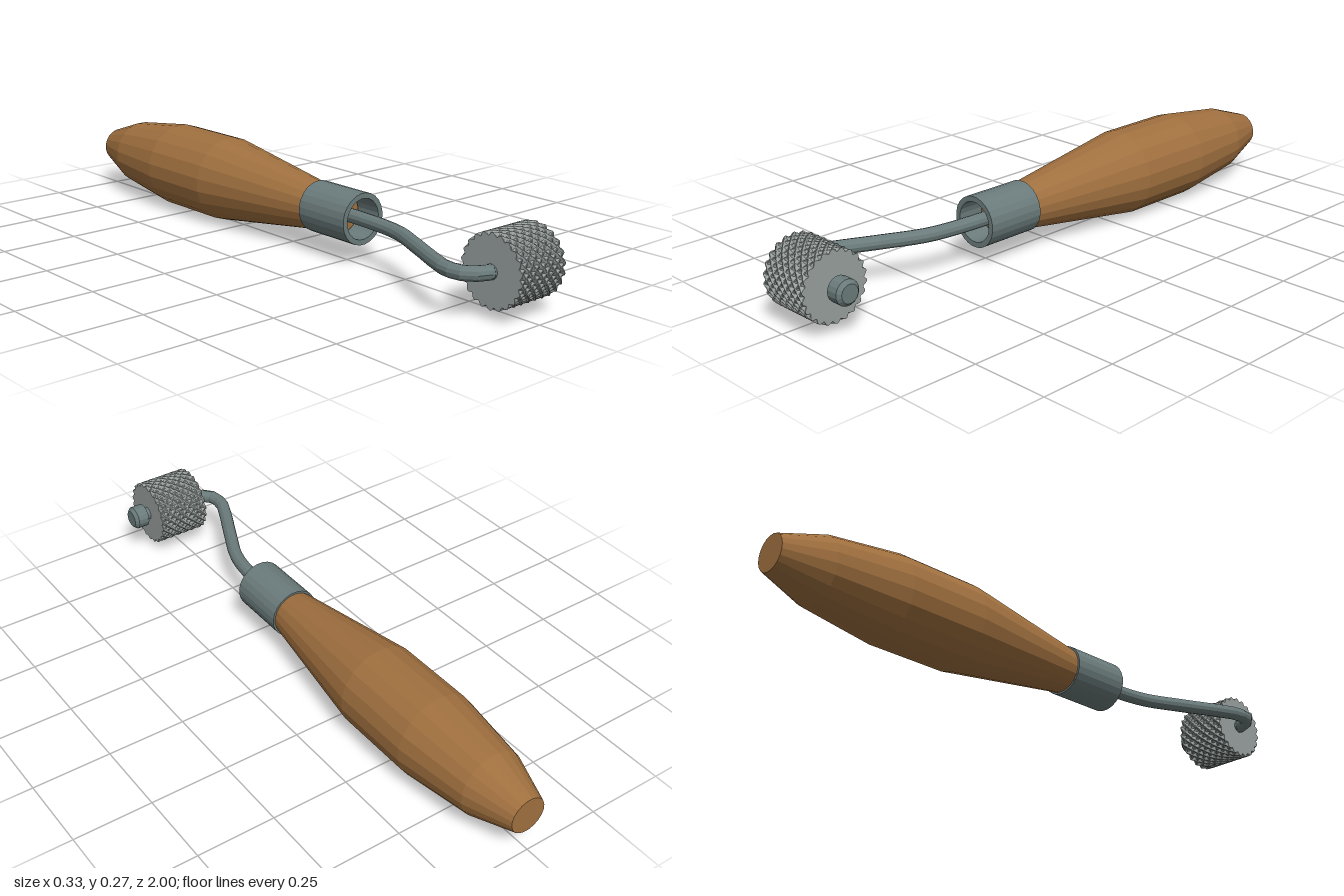
import * as THREE from 'three';

const AXIS_X = 0.013, AXIS_Y = 0.138, ROLLER_Z = 0.89;

const paint = (color) => new THREE.MeshStandardMaterial({ color, flatShading: true });

// Turned part from [radius, height] pairs, with a flat facing up
function turned(name, profile, sides, material) {
  const points = profile.map(([r, h]) => new THREE.Vector2(r, h));
  const mesh = new THREE.Mesh(new THREE.LatheGeometry(points, sides, Math.PI / sides), material);
  mesh.name = name;
  return mesh;
}

// Cylinder whose wall is cut by two crossing sets of helical grooves
function knurledGeometry(radius, length, teeth, twist, depth) {
  const geo = new THREE.CylinderGeometry(radius, radius, length, teeth * 8, 64);
  const pos = geo.attributes.position;
  const ridge = (a) => 0.5 + 0.5 * Math.cos(teeth * a);
  for (let i = 0; i < pos.count; i++) {
    const x = pos.getX(i), y = pos.getY(i), z = pos.getZ(i);
    const r = Math.hypot(x, z);
    if (r < radius * 0.5) continue;
    const angle = Math.atan2(z, x), turn = (y / length) * twist;
    const height = Math.max(ridge(angle + turn), 0.8 * ridge(angle - turn));
    const s = (radius - depth * (1 - height)) / r;
    pos.setXYZ(i, x * s, y, z * s);
  }
  geo.computeVertexNormals();
  return geo;
}

export function createModel() {
  const model = new THREE.Group();
  model.name = 'knurledRoller';
  const wood = paint(0xa0703f), steel = paint(0x6b7b7b), bright = paint(0x98a09e);

  // Handle and ferrule, turned along z
  const grip = new THREE.Group();
  grip.name = 'grip';
  grip.rotation.x = Math.PI / 2;
  grip.position.set(AXIS_X, AXIS_Y, 0);
  grip.add(turned('handle', [
    [0, -1], [0.058, -1], [0.108, -0.85], [0.139, -0.61],
    [0.139, -0.34], [0.074, 0.11], [0.06, 0.22], [0, 0.22],
  ], 20, wood));
  grip.add(turned('ferrule', [
    [0.064, 0.105], [0.081, 0.105], [0.081, 0.305], [0.064, 0.305], [0.064, 0.105],
  ], 24, steel));
  model.add(grip);

  // Bent rod from the handle round to the roller
  const path = new THREE.CatmullRomCurve3([
    [AXIS_X, 0.2], [AXIS_X, 0.3], [-0.006, 0.47], [-0.06, 0.6], [-0.122, 0.735],
    [-0.145, 0.8], [-0.135, 0.86], [-0.085, ROLLER_Z], [-0.05, ROLLER_Z],
  ].map(([x, z]) => new THREE.Vector3(x, AXIS_Y, z)));
  const rod = new THREE.Mesh(new THREE.TubeGeometry(path, 22, 0.022, 12), steel);
  rod.name = 'rod';
  model.add(rod);

  // Roller, axle and end nut, turned along x
  const head = new THREE.Group();
  head.name = 'rollerHead';
  head.rotation.z = -Math.PI / 2;
  head.position.set(0, AXIS_Y, ROLLER_Z);
  const roller = new THREE.Mesh(knurledGeometry(0.109, 0.176, 22, 1.75, 0.011), bright);
  roller.name = 'roller';
  roller.position.y = AXIS_X;
  head.add(roller);
  head.add(turned('axle', [[0, -0.08], [0.022, -0.08], [0.022, 0.13], [0, 0.13]], 16, steel));
  head.add(turned('endNut', [
    [0, 0.118], [0.039, 0.118], [0.039, 0.156], [0.028, 0.167], [0, 0.167],
  ], 16, steel));
  model.add(head);

  return model;
}
